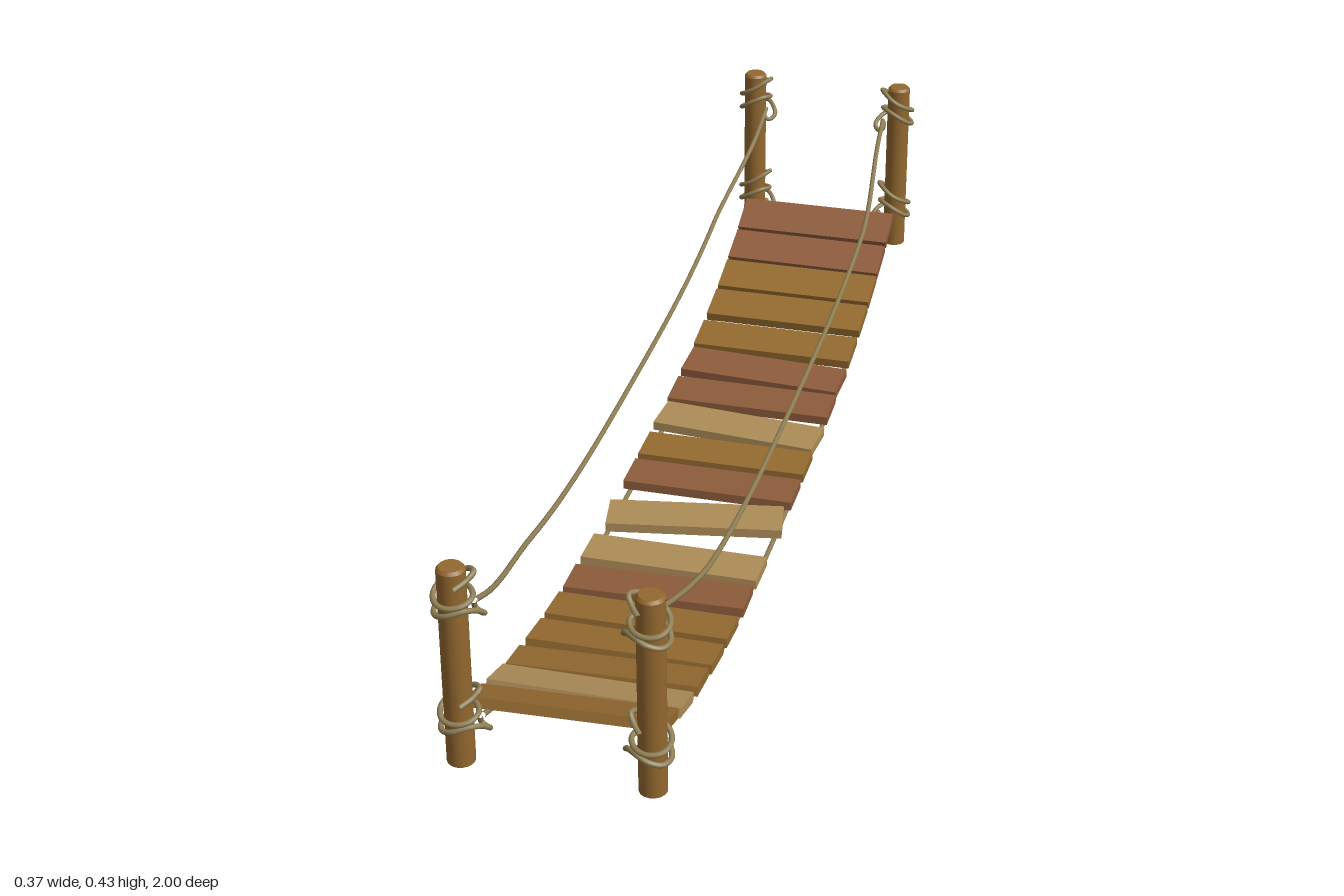
import * as THREE from 'three';

const mat = (color) => new THREE.MeshStandardMaterial({ color });
const POST_X = 0.152, POST_Z = 0.967;

// Height of the sagging ropes above their lowest point
const sag = (z) => 0.17 * Math.abs(z) ** 3;

export function createModel() {
  const model = new THREE.Group();
  const wood = {
    brown: mat(0x946a30), red: mat(0x8e5c3c), tan: mat(0xad8d58),
  };
  const postMat = mat(0x93682f);
  const ropeMat = mat(0x8f7f55);

  const add = (geometry, material, name, parent = model) => {
    const mesh = new THREE.Mesh(geometry, material);
    mesh.name = name;
    parent.add(mesh);
    return mesh;
  };
  const rope = (points, segments, radius, name, parent) => add(
    new THREE.TubeGeometry(new THREE.CatmullRomCurve3(points), segments, radius, 8),
    ropeMat, name, parent);

  // Planks: [z, yaw, wood], laid along the sagging ropes
  const planks = [
    [-0.882, 0, 'red'], [-0.795, -0.01, 'red'], [-0.707, 0, 'brown'],
    [-0.615, 0, 'brown'], [-0.51, 0, 'brown'], [-0.408, -0.06, 'red'],
    [-0.307, 0, 'red'], [-0.2, -0.09, 'tan'], [-0.095, 0, 'brown'],
    [0.006, 0, 'red'], [0.13, 0.17, 'tan'], [0.278, 0, 'tan'],
    [0.382, 0.03, 'red'], [0.488, 0, 'brown'], [0.59, 0, 'brown'],
    [0.693, 0.04, 'brown'], [0.787, 0, 'tan'], [0.878, 0.04, 'brown'],
  ];
  const deck = new THREE.Group();
  deck.name = 'deck';
  model.add(deck);
  const plankGeometry = new THREE.BoxGeometry(0.315, 0.017, 0.083);
  for (const [z, yaw, kind] of planks) {
    const plank = add(plankGeometry, wood[kind], 'plank', deck);
    const slope = 0.51 * z * Math.abs(z);
    plank.position.set(0, 0.021 + sag(z), z);
    plank.rotation.set(-Math.atan(slope), yaw, 0, 'YXZ');
  }

  // Two deck ropes and two hand ropes, drawn in towards the posts at the ends
  for (const side of [-1, 1]) {
    for (const [base, x, name] of [[0.005, 0.147, 'deckRope'], [0.214, 0.15, 'handRope']]) {
      const points = [];
      for (let i = 0; i <= 24; i++) {
        const z = -0.947 + (1.894 * i) / 24;
        const pull = THREE.MathUtils.smoothstep(Math.abs(z), 0.6, 0.95);
        points.push(new THREE.Vector3(side * (x - 0.026 * pull), base + sag(z), z));
      }
      rope(points, 120, 0.0045, name);
    }
  }

  // Lashing path round a post: [towards the deck centre, height, towards mid-span]
  const lashing = [
    [0.012, 0.402, -0.026], [0.026, 0.41, -0.01], [0.034, 0.419, 0.004], [0.022, 0.414, 0.02],
    [0, 0.4, 0.028], [-0.022, 0.387, 0.018], [-0.029, 0.378, 0], [-0.02, 0.371, -0.02],
    [0, 0.369, -0.028], [0.022, 0.372, -0.02], [0.032, 0.378, 0], [0.02, 0.381, 0.021],
    [0, 0.373, 0.028], [-0.021, 0.358, 0.02], [-0.029, 0.349, 0], [-0.02, 0.349, -0.02],
    [0, 0.356, -0.028], [0.022, 0.362, -0.02], [0.038, 0.356, -0.002], [0.045, 0.344, 0.012],
    [0.036, 0.336, 0.024], [0.026, 0.342, 0.026], [0.026, 0.356, 0.021],
  ];

  // Posts with bevelled tops, each lashed at hand and deck height
  const postProfile = [[0, 0.075], [0.0225, 0.075], [0.0225, 0.075], [0.0225, 0.422],
    [0.0225, 0.422], [0.0185, 0.427], [0.0185, 0.427], [0, 0.427]];
  const shaft = new THREE.CylinderGeometry(0.0225, 0.0225, 0.347, 16).translate(0, 0.2485, 0);
  const bevel = new THREE.CylinderGeometry(0.0185, 0.0225, 0.005, 16).translate(0, 0.4245, 0);
  for (const side of [-1, 1]) {
    for (const end of [-1, 1]) {
      const post = new THREE.Group();
      post.name = `${end > 0 ? 'front' : 'back'}${side > 0 ? 'Left' : 'Right'}Post`;
      post.position.set(side * POST_X, 0, end * POST_Z);
      model.add(post);
      add(shaft, postMat, 'postShaft', post);
      add(bevel, postMat, 'postTop', post);
      for (const [drop, name] of [[0, 'handRopeLashing'], [0.21, 'deckRopeLashing']]) {
        const points = lashing.map(([u, y, w]) => new THREE.Vector3(-side * u, y - drop, -end * w));
        rope(points, 110, 0.0045, name, post);
      }
    }
  }

  model.position.x = -0.002;
  return model;
}
